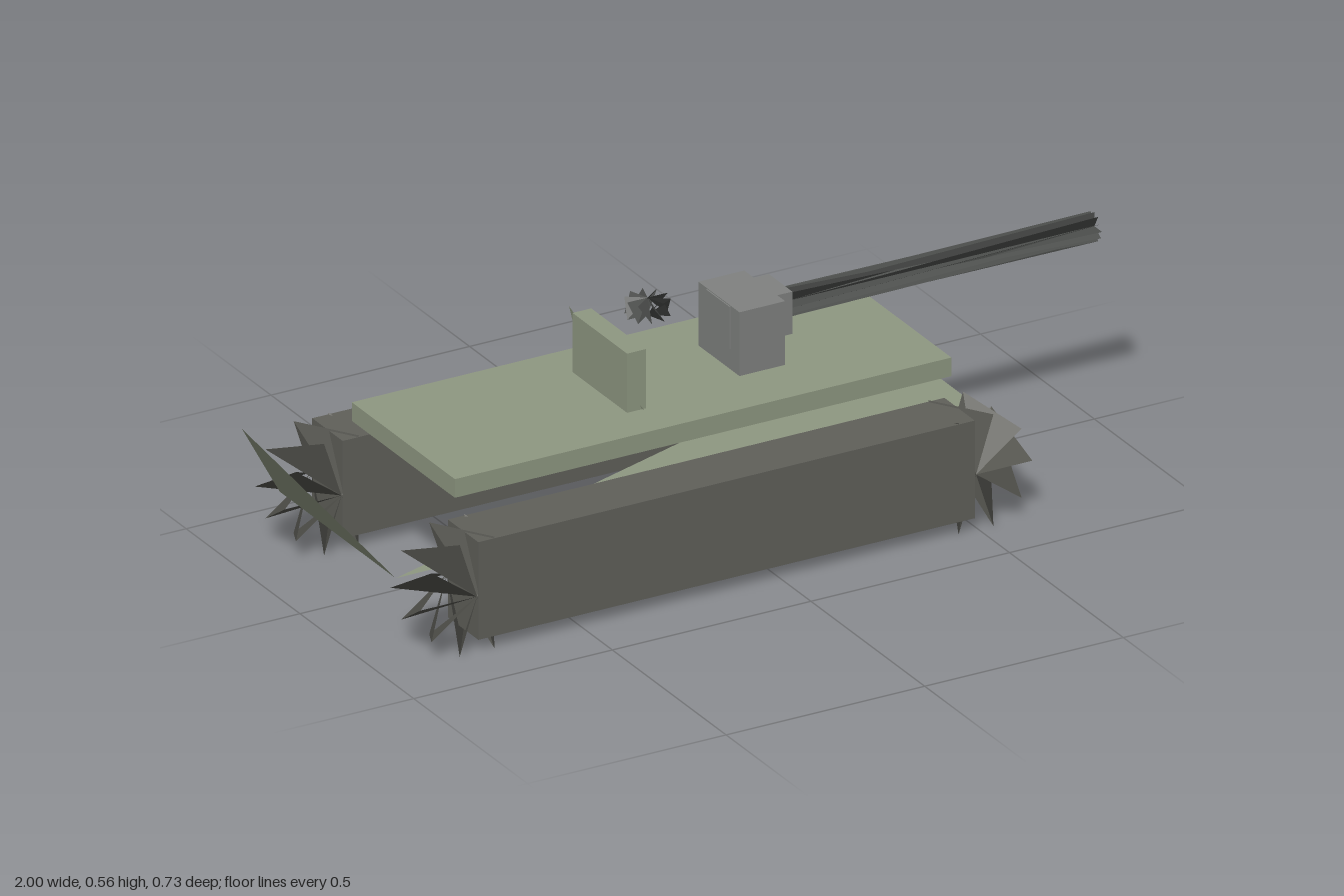
import * as THREE from 'three';

const mat = (color) => new THREE.MeshStandardMaterial({ color, flatShading: true, side: THREE.DoubleSide });
const hullMat = mat(0x8f9882), trackMat = mat(0x60605a), wheelMat = mat(0x55554f);
const gunMat = mat(0x808280), barrelMat = mat(0x4c4e4c);

// Box given by its min and max on each axis
function box(name, material, [x0, x1], [y0, y1], [z0, z1]) {
  const mesh = new THREE.Mesh(new THREE.BoxGeometry(x1 - x0, y1 - y0, z1 - z0), material);
  mesh.position.set((x0 + x1) / 2, (y0 + y1) / 2, (z0 + z1) / 2);
  mesh.name = name;
  return mesh;
}

// Mesh from loose triangles, nine numbers each
function triangles(name, material, points) {
  const geo = new THREE.BufferGeometry();
  geo.setAttribute('position', new THREE.Float32BufferAttribute(points, 3));
  geo.computeVertexNormals();
  const mesh = new THREE.Mesh(geo, material);
  mesh.name = name;
  return mesh;
}

// Pinwheel of twisted blades around the z axis: each blade runs from the
// axis to a slanted edge joining neighbouring rim points of the two ends
function bladedCylinder(name, material, radius, length, sides) {
  const pts = [], h = length / 2;
  const rim = (i, z) => {
    const a = (i / sides) * Math.PI * 2;
    return [radius * Math.cos(a), radius * Math.sin(a), z];
  };
  for (let i = 0; i < sides; i++) {
    const front = rim(i, h), back = rim(i + 1, -h);
    pts.push(0, 0, h, ...front, ...back);
    pts.push(0, 0, -h, ...back, ...front);
  }
  return triangles(name, material, pts);
}

// Open shell: a sloped rear triangle and a flat floor triangle
function openShell(name, xTop, xRear, xFront, y0, y1, z) {
  return triangles(name, hullMat, [
    xTop, y1, -z, xRear, y0, z, xRear, y0, -z,
    xRear, y0, z, xFront, y0, z, xFront, y0, -z,
  ]);
}

export function createModel() {
  const model = new THREE.Group();
  model.name = 'tank';

  // Tracks with a bladed wheel at each end
  for (const side of [1, -1]) {
    const track = new THREE.Group();
    track.name = side > 0 ? 'leftTrack' : 'rightTrack';
    track.add(box('trackBody', trackMat, [-0.76, 0.49], [0.03, 0.266], [-0.067, 0.067]));
    for (const x of [-0.763, 0.493]) {
      const wheel = bladedCylinder('trackWheel', wheelMat, 0.142, 0.134, 10);
      wheel.position.set(x, 0.135, 0);
      track.add(wheel);
    }
    track.position.z = side * 0.298;
    model.add(track);
  }

  // Hull
  model.add(openShell('lowerHull', -1, -0.905, 0.635, 0.168, 0.342, 0.255));
  model.add(box('deck', hullMat, [-0.74, 0.51], [0.312, 0.357], [-0.226, 0.227]));

  // Turret
  model.add(openShell('turretShell', -0.245, -0.21, 0.14, 0.36, 0.51, 0.135));
  model.add(box('turretRear', hullMat, [-0.245, -0.198], [0.357, 0.5], [-0.12, 0.12]));
  const hatch = bladedCylinder('hatch', barrelMat, 0.051, 0.042, 10);
  hatch.rotation.x = -Math.PI / 2;
  hatch.position.set(-0.125, 0.537, 0);
  model.add(hatch);

  // Gun
  model.add(box('mantlet', gunMat, [0.055, 0.17], [0.363, 0.517], [-0.09, 0.09]));
  model.add(box('gunCollar', gunMat, [0.052, 0.21], [0.413, 0.515], [-0.052, 0.052]));
  const barrel = bladedCylinder('barrel', barrelMat, 0.034, 0.8, 12);
  barrel.rotation.y = Math.PI / 2;
  barrel.position.set(0.6, 0.466, 0);
  model.add(barrel);

  return model;
}
